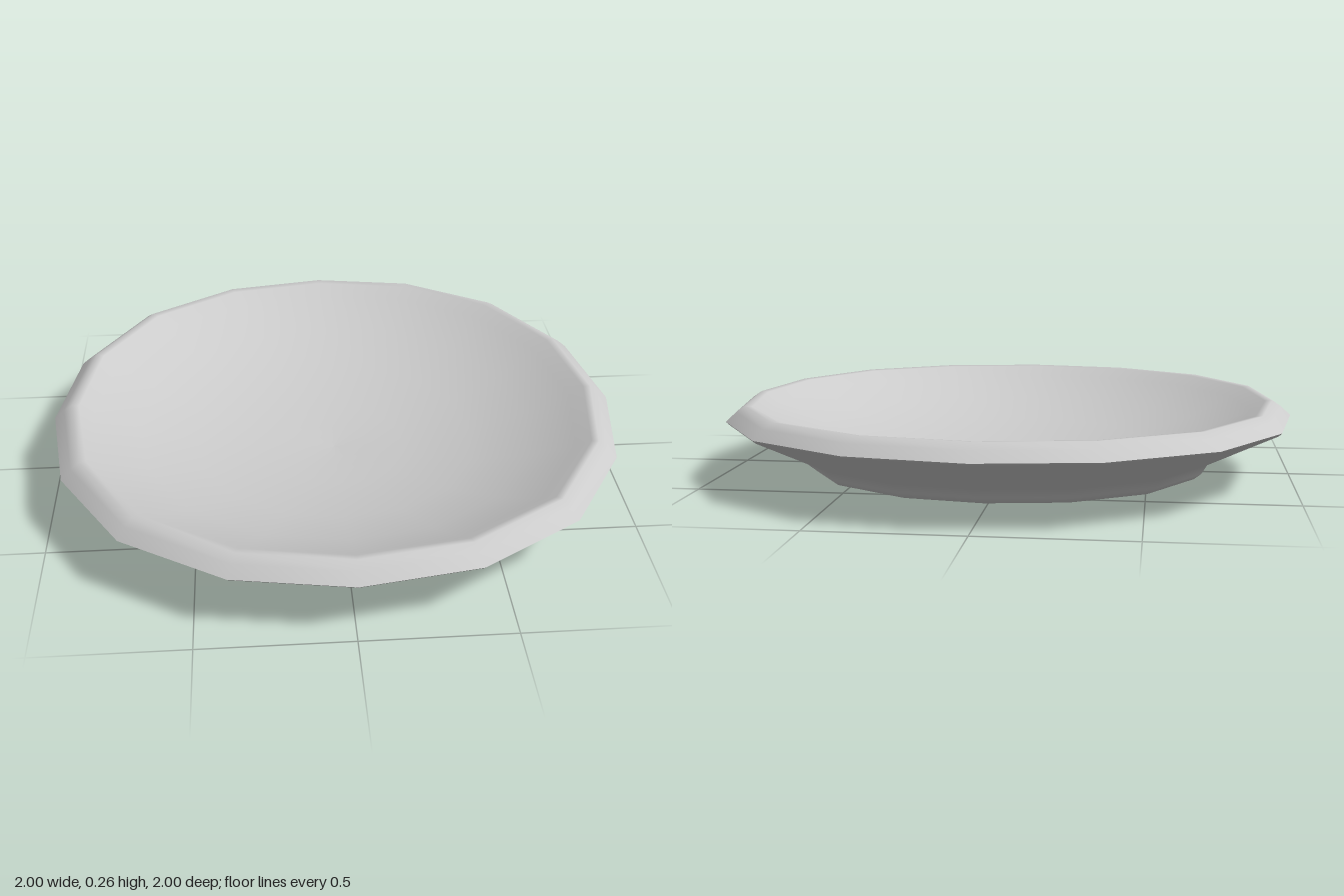
import * as THREE from 'three';

const SIDES = 16;

// Lathe a profile, then swell the diagonals slightly so the outline is a soft square-circle
function turned(name, profile, material) {
  const geometry = new THREE.LatheGeometry(profile.map(([r, y]) => new THREE.Vector2(r, y)), SIDES);
  const pos = geometry.attributes.position;
  for (let i = 0; i < pos.count; i++) {
    const x = pos.getX(i), z = pos.getZ(i);
    const swell = 1 + 0.028 * Math.sin(2 * Math.atan2(z, x)) ** 2;
    pos.setX(i, x * swell);
    pos.setZ(i, z * swell);
  }
  const mesh = new THREE.Mesh(geometry, material);
  mesh.name = name;
  return mesh;
}

export function createModel() {
  const group = new THREE.Group();
  group.name = 'shallowDish';
  const material = new THREE.MeshStandardMaterial({ color: 0xcccccc });

  // Slightly domed base, short foot and flared outer wall
  group.add(turned('underside', [
    [0, 0], [0.35, 0.01], [0.68, 0.022], [0.705, 0.03], [0.73, 0.05], [0.745, 0.08], [0.99, 0.203], [1, 0.213],
  ], material));

  // Bevelled rim rolling over into the concave bowl
  group.add(turned('rimAndBowl', [
    [1, 0.213], [0.965, 0.245], [0.935, 0.265], [0.91, 0.262], [0.86, 0.228],
    [0.7, 0.155], [0.5, 0.095], [0.25, 0.055], [0, 0.045],
  ], material));

  return group;
}
